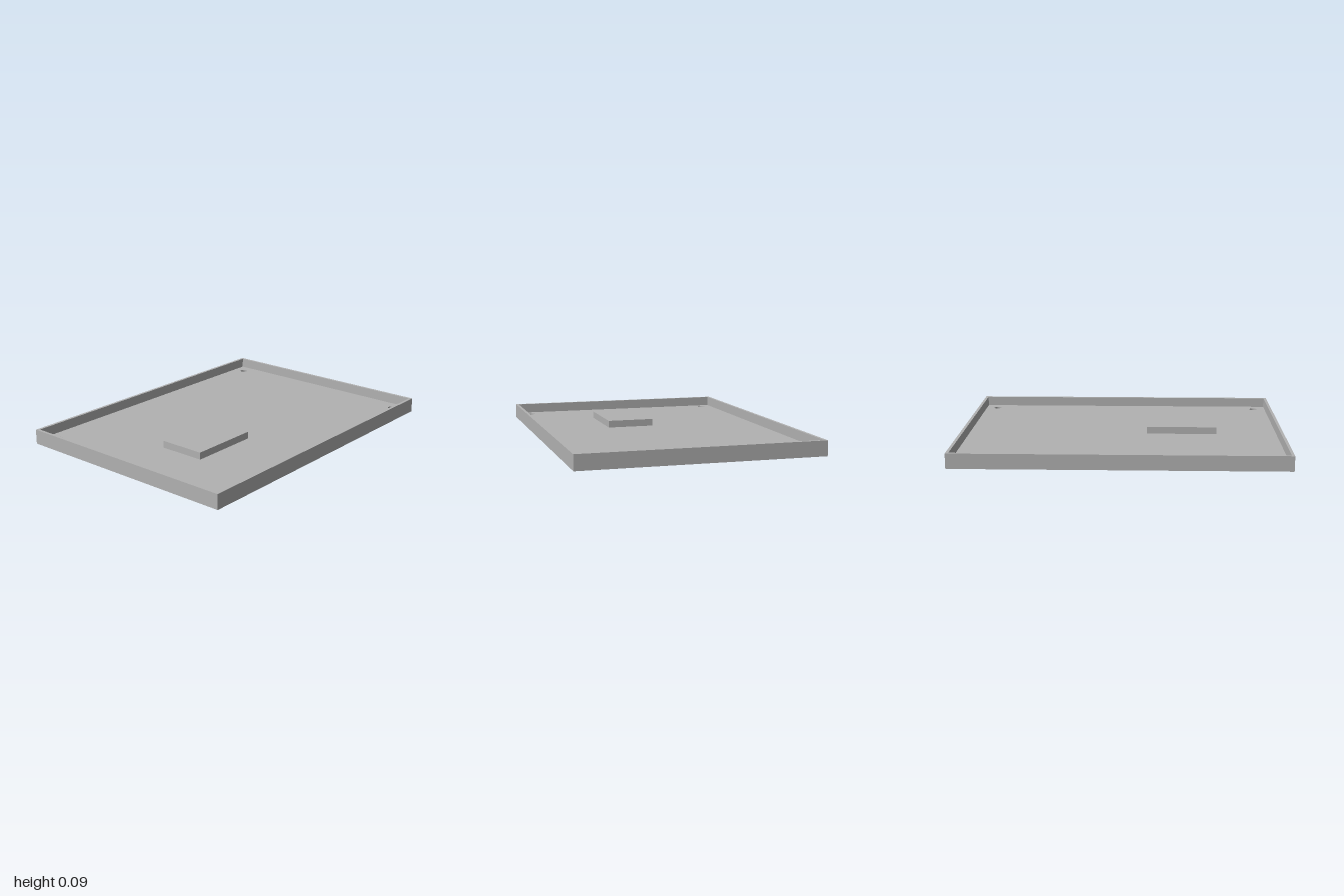
import * as THREE from 'three';

const WIDTH = 2, DEPTH = 1.473, HEIGHT = 0.092;
const WALL = 0.018, FLOOR = 0.031;

// Rectangle centred on the origin, as a shape or a hole
function rectangle(Type, w, d) {
  const r = new Type();
  r.moveTo(-w / 2, -d / 2);
  r.lineTo(w / 2, -d / 2);
  r.lineTo(w / 2, d / 2);
  r.lineTo(-w / 2, d / 2);
  r.closePath();
  return r;
}

// Extrude a plan outline upwards from y0 to y1
function extrudeUp(shape, y0, y1) {
  const geometry = new THREE.ExtrudeGeometry(shape, {
    depth: y1 - y0, bevelEnabled: false, curveSegments: 32,
  });
  geometry.rotateX(-Math.PI / 2);
  geometry.translate(0, y0, 0);
  return geometry;
}

export function createModel() {
  const group = new THREE.Group();
  group.name = 'tray';
  const grey = new THREE.MeshStandardMaterial({ color: 0xb2b2b2 });
  grey.name = 'grey';

  const add = (name, geometry) => {
    const mesh = new THREE.Mesh(geometry, grey);
    mesh.name = name;
    group.add(mesh);
    return mesh;
  };

  // Floor plate with a screw hole near each corner
  const floor = rectangle(THREE.Shape, WIDTH, DEPTH);
  for (const sx of [-1, 1]) {
    for (const sz of [-1, 1]) {
      const hole = new THREE.Path();
      hole.absarc(sx * 0.903, sz * 0.642, 0.025, 0, Math.PI * 2, true);
      floor.holes.push(hole);
    }
  }
  add('floorPlate', extrudeUp(floor, 0, FLOOR));

  // Thin wall around the edge
  const rim = rectangle(THREE.Shape, WIDTH, DEPTH);
  rim.holes.push(rectangle(THREE.Path, WIDTH - 2 * WALL, DEPTH - 2 * WALL));
  add('rimWall', extrudeUp(rim, FLOOR, HEIGHT));

  // Raised block on the floor
  const padHeight = 0.044;
  const pad = add('raisedPad', new THREE.BoxGeometry(0.445, padHeight, 0.295));
  pad.position.set(-0.378, FLOOR + padHeight / 2, 0.11);

  return group;
}
